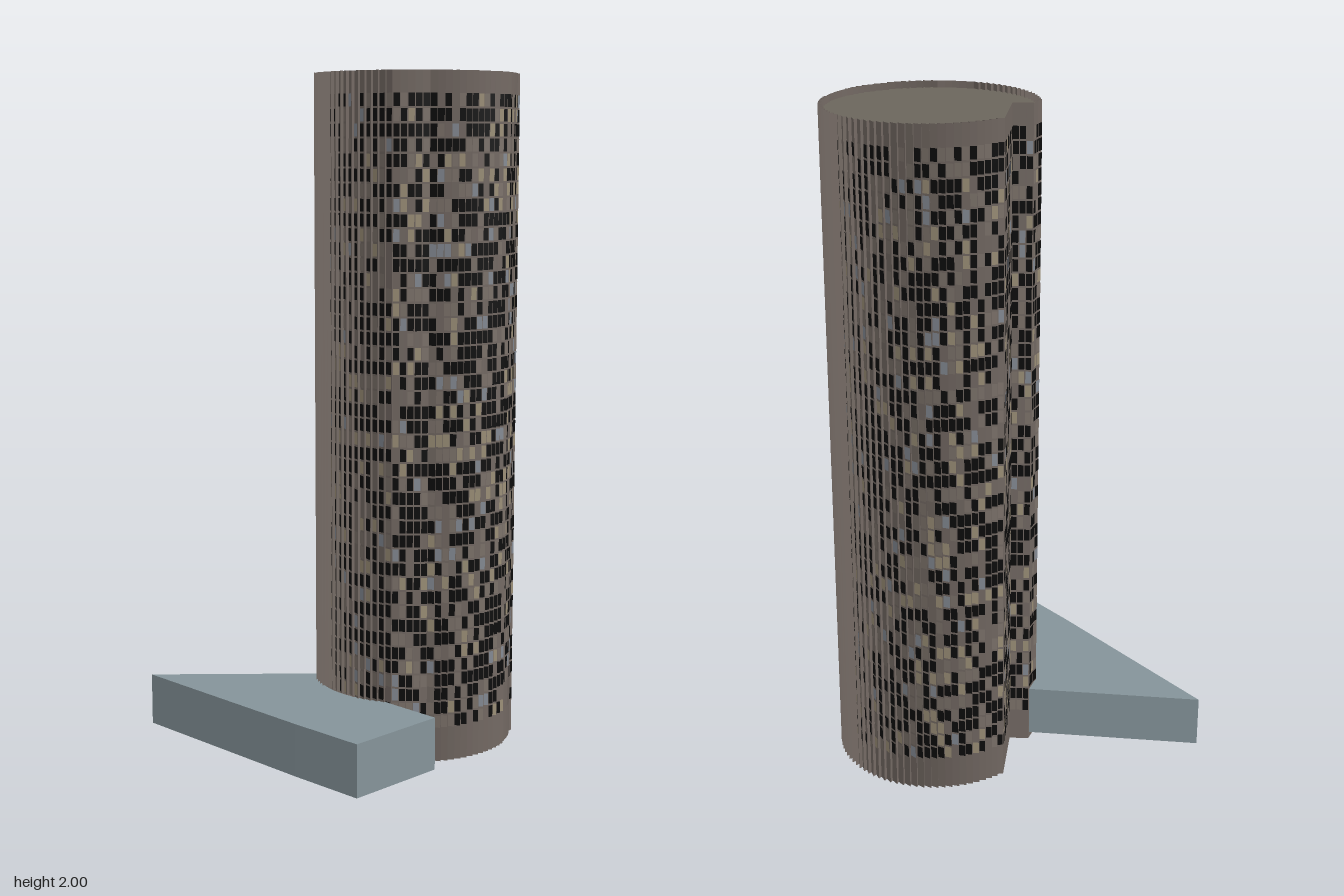
import * as THREE from 'three';

const CX = 0.176, CZ = 0.02, RX = 0.301, RZ = 0.294;
const BASE = 0.1, CROWN = 1.94, FLOORS = 44;
const STEP = (CROWN - BASE) / FLOORS;
const arc = (t, off = 0) => [CX + (RX + off) * Math.cos(t), CZ + (RZ + off) * Math.sin(t)];
const mix = (a, b, t) => [a[0] + (b[0] - a[0]) * t, a[1] + (b[1] - a[1]) * t];

// Collects upright quads into one flat-shaded geometry
class Quads {
  constructor() { this.p = []; }
  quad(a, b, c, d) { this.p.push(...a, ...b, ...c, ...a, ...c, ...d); }
  wall(a, b, y0, y1) {
    this.quad([b[0], y0, b[1]], [a[0], y0, a[1]], [a[0], y1, a[1]], [b[0], y1, b[1]]);
  }
  mesh(name, color, side = THREE.DoubleSide) {
    const g = new THREE.BufferGeometry();
    g.setAttribute('position', new THREE.Float32BufferAttribute(this.p, 3));
    g.computeVertexNormals();
    const m = new THREE.Mesh(g, new THREE.MeshStandardMaterial({ color, side }));
    m.name = name;
    return m;
  }
}

// Flat roof plate from a plan outline
function plate(name, outline, y, color) {
  const shape = new THREE.Shape(outline.map(([x, z]) => new THREE.Vector2(x, -z)));
  const g = new THREE.ShapeGeometry(shape).rotateX(-Math.PI / 2).translate(0, y, 0);
  const m = new THREE.Mesh(g, new THREE.MeshStandardMaterial({ color, side: THREE.DoubleSide }));
  m.name = name;
  return m;
}

// Tower plan: saw-toothed arc, smooth bays, and a straight-sided notch at the back
function towerSegments() {
  const segs = [], start = -1.81, end = 3.62, n = 78, d = (end - start) / n;
  for (let i = 0; i < n; i++) {
    const t = start + i * d, m = t + d / 2;
    const smooth = (m > 2.09 && m < 2.46) || (m > 0.765 && m < 1.1);
    const amp = smooth ? 0 : 0.006;
    const a = arc(t, amp), b = arc(t + d, -amp);
    const open = (m > 0.765 && m < 1.12) || (m > 2.84 && m < 3.34);
    if (segs.length) segs.push({ a: segs[segs.length - 1].b, b: a, step: true, open: open && segs[segs.length - 1].open });
    segs.push({ a, b, open });
  }
  const corners = [segs[segs.length - 1].b, [-0.06, -0.135], [-0.01, -0.105], segs[0].a];
  [2, 3, 9].forEach((count, k) => {
    for (let j = 0; j < count; j++) {
      segs.push({ a: mix(corners[k], corners[k + 1], j / count), b: mix(corners[k], corners[k + 1], (j + 1) / count) });
    }
  });
  return segs;
}

function createTower() {
  const tower = new THREE.Group();
  tower.name = 'tower';
  let seed = 7;
  const rand = () => (seed = (seed * 16807) % 2147483647) / 2147483647;

  const segs = towerSegments(), wall = new Quads();
  const kinds = [
    { name: 'darkWindows', color: 0x0c0c0c, upTo: 0.54 },
    { name: 'taupePanels', color: 0x7d736b, upTo: 0.72 },
    { name: 'tanPanels', color: 0x9c9078, upTo: 0.82 },
    { name: 'blueGreyPanels', color: 0x858b94, upTo: 0.87 },
  ].map(k => ({ ...k, quads: new Quads() }));

  for (const { a, b, step, open } of segs) {
    // Wall strip, broken by the entrance openings
    if (open) {
      wall.wall(a, b, 0, BASE);
      wall.wall(a, b, BASE + 2 * STEP, 2);
    } else wall.wall(a, b, 0, 2);
    if (step) continue;
    // One window or panel per floor, set just proud of the wall
    const len = Math.hypot(b[0] - a[0], b[1] - a[1]);
    const ox = (b[1] - a[1]) / len * 0.0015, oz = -(b[0] - a[0]) / len * 0.0015;
    const shift = ([x, z]) => [x + ox, z + oz];
    const l = shift(mix(a, b, 0.08)), r = shift(mix(a, b, 0.92));
    for (let f = open ? 2 : 0; f < FLOORS; f++) {
      const v = rand(), kind = kinds.find(k => v < k.upTo);
      const y = BASE + f * STEP;
      if (kind) kind.quads.wall(l, r, y + 0.003, y + STEP - 0.003);
    }
  }
  tower.add(wall.mesh('towerWall', 0x746a64));
  for (const k of kinds) tower.add(k.quads.mesh(k.name, k.color, THREE.FrontSide));
  tower.add(plate('towerRoof', segs.map(s => s.a), 1.98, 0x6b665c));
  return tower;
}

// Low wing wrapped against the tower, open underneath
function createWing() {
  const wing = new THREE.Group();
  wing.name = 'wing';
  const y0 = 0.025, y1 = 0.18, color = 0x85949a;
  const outer = [[-0.06, -0.139], [-0.487, -0.44], [-0.388, 0.2], [-0.345, 0.438], [-0.035, 0.392], [-0.062, 0.225]];
  const inner = outer.map(([x, z]) => [-0.27 + (x + 0.27) * 0.95, 0.06 + (z - 0.06) * 0.95]);
  const shell = new Quads(), lining = new Quads();
  for (let i = 0; i < outer.length - 1; i++) {
    const a = outer[i], b = outer[i + 1], c = inner[i], d = inner[i + 1];
    shell.wall(b, a, y0, y1);
    lining.wall(c, d, y0, y1 - 0.004);
    // Bottom lip joining the wall to its lining
    shell.quad([a[0], y0, a[1]], [c[0], y0, c[1]], [d[0], y0, d[1]], [b[0], y0, b[1]]);
  }
  const seam = [];
  for (let i = 0; i <= 12; i++) seam.push(arc(2.5 + i * 0.09));
  wing.add(shell.mesh('wingWalls', color));
  wing.add(lining.mesh('wingLining', 0xa89c86));
  wing.add(plate('wingRoof', [...outer, ...seam], y1, color));
  return wing;
}

export function createModel() {
  const model = new THREE.Group();
  model.name = 'building';
  model.add(createTower(), createWing());
  return model;
}
